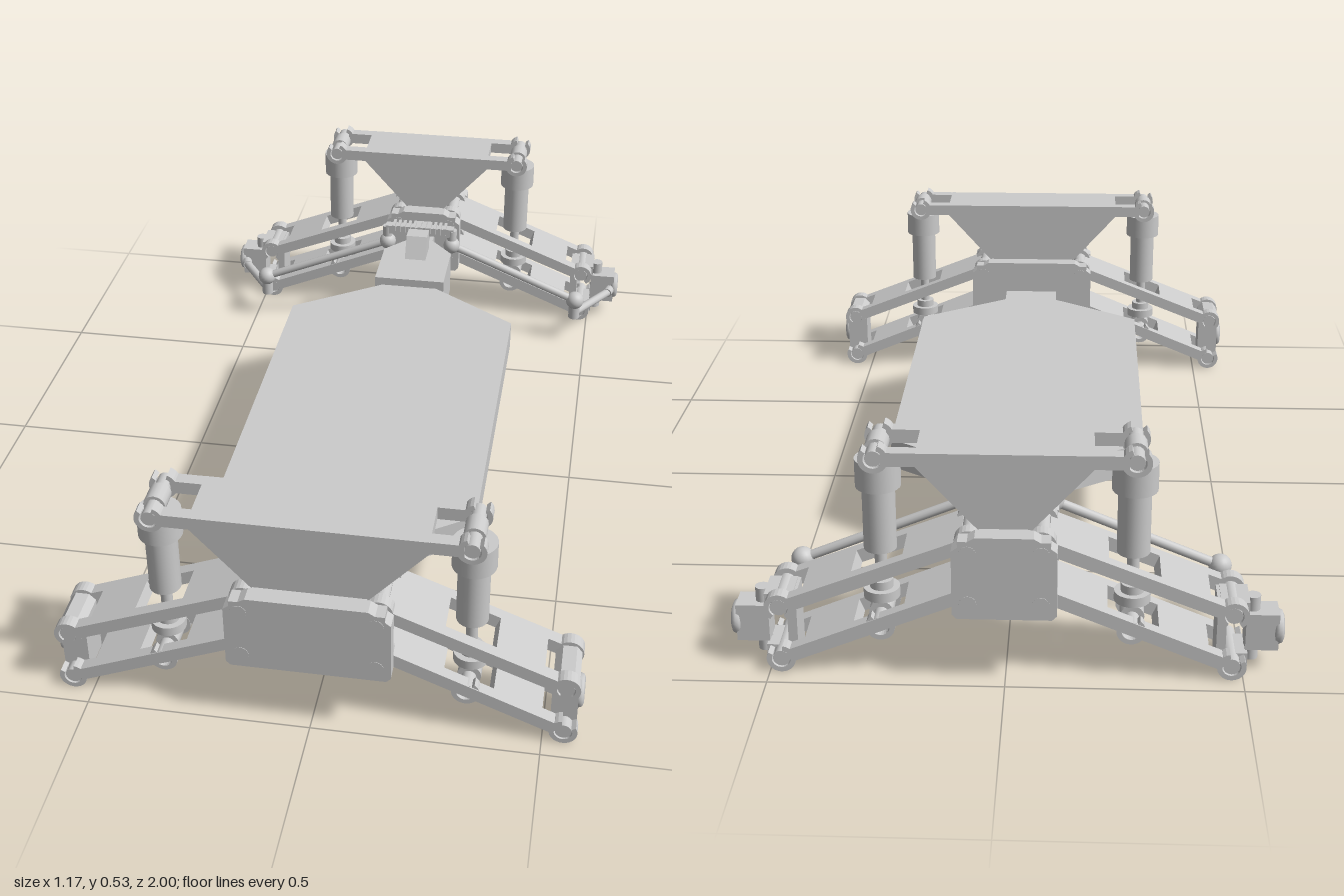
import * as THREE from 'three';

const mat = new THREE.MeshStandardMaterial({ color: 0xcccccc, side: THREE.DoubleSide });

function add(parent, name, geo, x = 0, y = 0, z = 0) {
  const m = new THREE.Mesh(geo, mat);
  m.name = name;
  m.position.set(x, y, z);
  parent.add(m);
  return m;
}
const box = (w, h, d) => new THREE.BoxGeometry(w, h, d);
const cyl = (r, h, n = 24) => new THREE.CylinderGeometry(r, r, h, n);
const pinZ = (r, l) => cyl(r, l, 16).rotateX(Math.PI / 2);
const poly = (pts) => new THREE.Shape(pts.map(([x, y]) => new THREE.Vector2(x, y)));
// outline mirrored over x = 0
const mirrorPoly = (half) => poly([...half, ...half.slice().reverse().map(([x, y]) => [-x, y])]);
// extrusion centred on z
const slab = (shape, d) => new THREE.ExtrudeGeometry(shape, { depth: d, bevelEnabled: false, curveSegments: 10 }).translate(0, 0, -d / 2);
// plan outline (x, z) extruded along y
const plan = (shape, h) => slab(shape, h).rotateX(Math.PI / 2);
const rect = (x0, x1, y0, y1) => poly([[x0, y0], [x1, y0], [x1, y1], [x0, y1]]);

function rod(parent, name, a, b, r) {
  const p = new THREE.Vector3(...a), q = new THREE.Vector3(...b), d = q.clone().sub(p);
  const m = add(parent, name, cyl(r, d.length(), 12));
  m.position.copy(p).add(q).multiplyScalar(0.5);
  m.quaternion.setFromUnitVectors(new THREE.Vector3(0, 1, 0), d.normalize());
}

// open C clip whose gap points along the given angle
function clip(parent, x, y, z, angle, width = 0.034) {
  const s = new THREE.Shape();
  s.absarc(0, 0, 0.031, angle + 0.6, angle + Math.PI * 2 - 0.6, false);
  s.absarc(0, 0, 0.02, angle + Math.PI * 2 - 0.6, angle + 0.6, true);
  add(parent, 'clip', slab(s, width), x, y, z);
}

// suspension arm: windowed plate with clips on its outer prongs
function arm(name, y0, y1, shockU, isLower) {
  const g = new THREE.Group();
  g.name = name;
  const dx = 0.4, L = Math.hypot(dx, y1 - y0);
  g.position.set(0.145, y0, 0);
  g.rotation.z = Math.atan2(y1 - y0, dx);
  const e = L - 0.018, n = L - 0.058;
  const s = poly([[0.012, -0.073], [e, -0.073], [e, -0.043], [n, -0.043], [n, 0.043], [e, 0.043], [e, 0.073], [0.012, 0.073]]);
  s.holes.push(rect(shockU - 0.062, shockU + 0.055, -0.046, 0.046));
  add(g, 'armPlate', plan(s, 0.03));
  for (const z of [-0.058, 0.058]) {
    clip(g, L, 0, z, isLower ? 1.5 : -1.2, 0.03);
    clip(g, 0, 0, z, Math.PI, 0.03);
    if (isLower) clip(g, shockU, -0.006, z, 1.9, 0.025);
  }
  add(g, 'innerPin', pinZ(0.018, 0.232));
  add(g, 'outerPin', pinZ(0.018, 0.14), L);
  if (isLower) add(g, 'shockPin', pinZ(0.016, 0.14), shockU);
  return g;
}

function shock() {
  const g = new THREE.Group();
  g.name = 'shock';
  g.position.x = 0.335;
  add(g, 'cap', cyl(0.048, 0.062), 0, 0.449);
  add(g, 'body', cyl(0.035, 0.145), 0, 0.346);
  add(g, 'pistonRod', cyl(0.013, 0.13, 16), 0, 0.215);
  add(g, 'springCup', cyl(0.039, 0.022), 0, 0.17);
  add(g, 'cupCollar', cyl(0.025, 0.02), 0, 0.19);
  add(g, 'lowerEye', pinZ(0.026, 0.05), 0, 0.13);
  add(g, 'upperEye', pinZ(0.024, 0.05), 0, 0.508);
  add(g, 'upperPin', pinZ(0.017, 0.14), 0, 0.508);
  return g;
}

// one side of an axle, for the model's left
function suspensionSide(steered) {
  const g = new THREE.Group();
  g.name = 'suspension';
  g.add(arm('upperArm', 0.32, 0.162, 0.205, false), arm('lowerArm', 0.205, 0.04, 0.205, true), shock());
  const carrier = poly([[0.515, 0.035], [0.53, 0.02], [0.56, 0.02], [0.572, 0.035], [0.572, 0.17], [0.56, 0.185], [0.53, 0.185], [0.515, 0.17]]);
  if (!steered) {
    add(g, 'hubCarrier', slab(carrier, 0.082));
    add(g, 'axleRing', new THREE.TorusGeometry(0.027, 0.011, 8, 24).rotateY(Math.PI / 2), 0.573, 0.1);
    add(g, 'axleStub', cyl(0.022, 0.02).rotateZ(Math.PI / 2), 0.572, 0.1);
  } else {
    // C-shaped carrier with the knuckle swinging between its lugs
    add(g, 'carrierBack', box(0.02, 0.15, 0.08), 0.523, 0.1);
    for (const y of [0.04, 0.162]) add(g, 'carrierLug', box(0.06, 0.03, 0.08), 0.55, y);
    add(g, 'kingPin', cyl(0.016, 0.15, 16), 0.59, 0.1);
    add(g, 'knuckleBlock', box(0.07, 0.085, 0.06), 0.61, 0.1);
    add(g, 'knuckleRing', new THREE.TorusGeometry(0.027, 0.011, 8, 24).rotateY(Math.PI / 2), 0.646, 0.1);
    add(g, 'axleStub', cyl(0.024, 0.03).rotateZ(Math.PI / 2), 0.64, 0.1);
    // steering arm, ball and tie rod
    rod(g, 'steeringArm', [0.637, 0.1, 0.02], [0.627, 0.1, 0.055], 0.014);
    rod(g, 'steeringArm', [0.635, 0.1, 0.04], [0.535, 0.1, 0.185], 0.012);
    add(g, 'steeringPost', cyl(0.016, 0.05, 16), 0.535, 0.11, 0.185);
    add(g, 'tieRodBall', new THREE.SphereGeometry(0.026, 20, 14), 0.535, 0.142, 0.185);
    rod(g, 'tieRod', [0.535, 0.142, 0.185], [0.165, 0.295, 0.185], 0.011);
    add(g, 'rackBall', new THREE.SphereGeometry(0.024, 20, 14), 0.165, 0.295, 0.185);
    add(g, 'rackPost', cyl(0.014, 0.05, 16), 0.165, 0.32, 0.185);
  }
  return g;
}

// bulkhead, shock tower and both sides; inset narrows the axle
function axle(name, z, inset, steered) {
  const g = new THREE.Group();
  g.name = name;
  g.position.z = z;
  const w = (x) => x - inset;
  // end plates with open notches beside the pins
  const plate = mirrorPoly([[w(0.168), 0.17], [w(0.178), 0.18], [w(0.178), 0.325], [w(0.165), 0.335], [w(0.165), 0.348], [w(0.145), 0.348], [w(0.13), 0.357]]);
  for (const s of [-1, 1]) add(g, 'bulkheadPlate', slab(plate, 0.038), 0, 0, s * 0.096);
  add(g, 'bulkheadCore', box(2 * w(0.122), 0.187, 0.16), 0, 0.2635);

  // shock tower: solid wedge under a top bar with shock slots
  const neck = w(0.25);
  add(g, 'towerWedge', slab(mirrorPoly([[w(0.125), 0.355], [neck, 0.493], [neck, 0.523]]), 0.147));
  for (const sx of [-1, 1]) for (const sz of [-1, 1]) {
    add(g, 'towerProng', box(0.072, 0.03, 0.03), sx * (neck + 0.034), 0.508, sz * 0.058);
    clip(g, sx * w(0.335), 0.508, sz * 0.058, Math.PI / 2 - sx * 0.25, 0.03);
  }
  for (const sx of [-1, 1]) {
    const holder = new THREE.Group();
    holder.name = sx > 0 ? 'leftSide' : 'rightSide';
    const side = suspensionSide(steered);
    side.position.x = -inset;
    holder.add(side);
    holder.scale.x = sx;
    g.add(holder);
  }
  return g;
}

export function createModel() {
  const model = new THREE.Group();
  model.name = 'buggyChassis';

  // flat chassis plate
  add(model, 'chassisPlate', plan(mirrorPoly([[0.07, -0.49], [0.305, -0.33], [0.305, 0.535], [0.075, 0.695], [0.075, 0.79]]), 0.073), 0, 0.232, 0);

  // front and rear axles
  model.add(axle('frontAxle', 0.885, 0, false), axle('rearAxle', -0.885, 0.07, true));

  // steering motor housing tapering to the rear bulkhead
  add(model, 'servoHousing', plan(mirrorPoly([[0.098, -0.485], [0.098, -0.655], [0.035, -0.725], [0.035, -0.79]]), 0.122), 0, 0.23, 0);
  const ramp = poly([[0.6, 0.285], [0.635, 0.35], [0.68, 0.35], [0.68, 0.285]]);
  add(model, 'servoRamp', slab(ramp, 0.06).rotateY(Math.PI / 2));

  // toothed steering rack
  add(model, 'steeringRack', box(0.2, 0.025, 0.026), 0, 0.338, -0.7);
  for (let i = -5; i <= 5; i++) add(model, 'rackTooth', box(0.008, 0.022, 0.042), i * 0.015, 0.345, -0.7);
  add(model, 'rackSupport', box(0.05, 0.05, 0.1), 0, 0.305, -0.74);
  return model;
}
